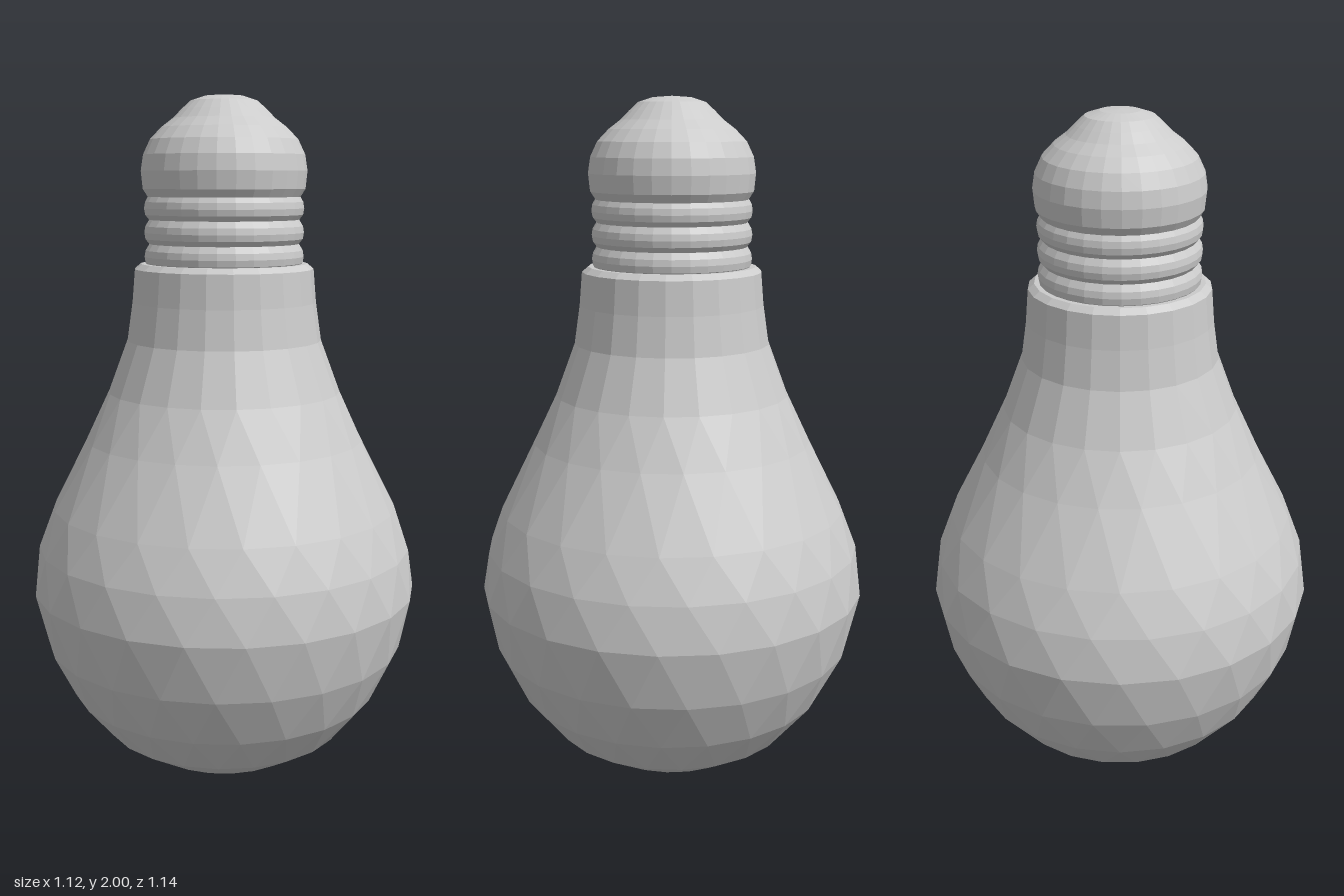
import * as THREE from 'three';

const material = new THREE.MeshStandardMaterial({ color: 0xcccccc, flatShading: true });

// Faceted lathe; each ring is turned by half a step so the facets become staggered triangles
function facetedLathe(name, profile, sides, stagger) {
  const geometry = new THREE.LatheGeometry(profile.map(([r, y]) => new THREE.Vector2(r, y)), sides);
  const position = geometry.attributes.position;
  const v = new THREE.Vector3();
  const up = new THREE.Vector3(0, 1, 0);
  for (let i = 0; i < position.count; i++) {
    const ring = i % profile.length;
    v.fromBufferAttribute(position, i).applyAxisAngle(up, stagger * ring * Math.PI / sides);
    position.setXYZ(i, v.x, v.y, v.z);
  }
  geometry.computeVertexNormals();
  const mesh = new THREE.Mesh(geometry, material);
  mesh.name = name;
  return mesh;
}

export function createModel() {
  const group = new THREE.Group();
  group.name = 'lightBulb';

  // Glass: round belly at the bottom, tapering to a neck with a flat rim
  group.add(facetedLathe('glass', [
    [0, 0], [0.11, 0.015], [0.23, 0.055], [0.355, 0.13], [0.455, 0.25], [0.53, 0.4],
    [0.568, 0.57], [0.55, 0.7], [0.505, 0.82], [0.405, 1.02], [0.338, 1.16],
  ], 22, 1));
  group.add(facetedLathe('neck', [
    [0.338, 1.16], [0.282, 1.31], [0.266, 1.42], [0.258, 1.515], [0.24, 1.53], [0.2, 1.53],
  ], 22, 0));
  group.children[1].rotation.y = 10 * Math.PI / 22; // line up with the last glass ring

  // Screw base: three rounded threads below a domed cap with a contact bump
  const base = [[0.21, 1.5]];
  for (const y of [1.55, 1.618, 1.686]) {
    base.push([0.215, y - 0.032], [0.226, y - 0.018], [0.229, y], [0.226, y + 0.018]);
  }
  base.push(
    [0.218, 1.718], [0.232, 1.74], [0.237, 1.79], [0.23, 1.835], [0.21, 1.877], [0.178, 1.91],
    [0.145, 1.935], [0.12, 1.96], [0.095, 1.983], [0.055, 1.996], [0, 2],
  );
  group.add(facetedLathe('screwBase', base, 28, 0));

  return group;
}
